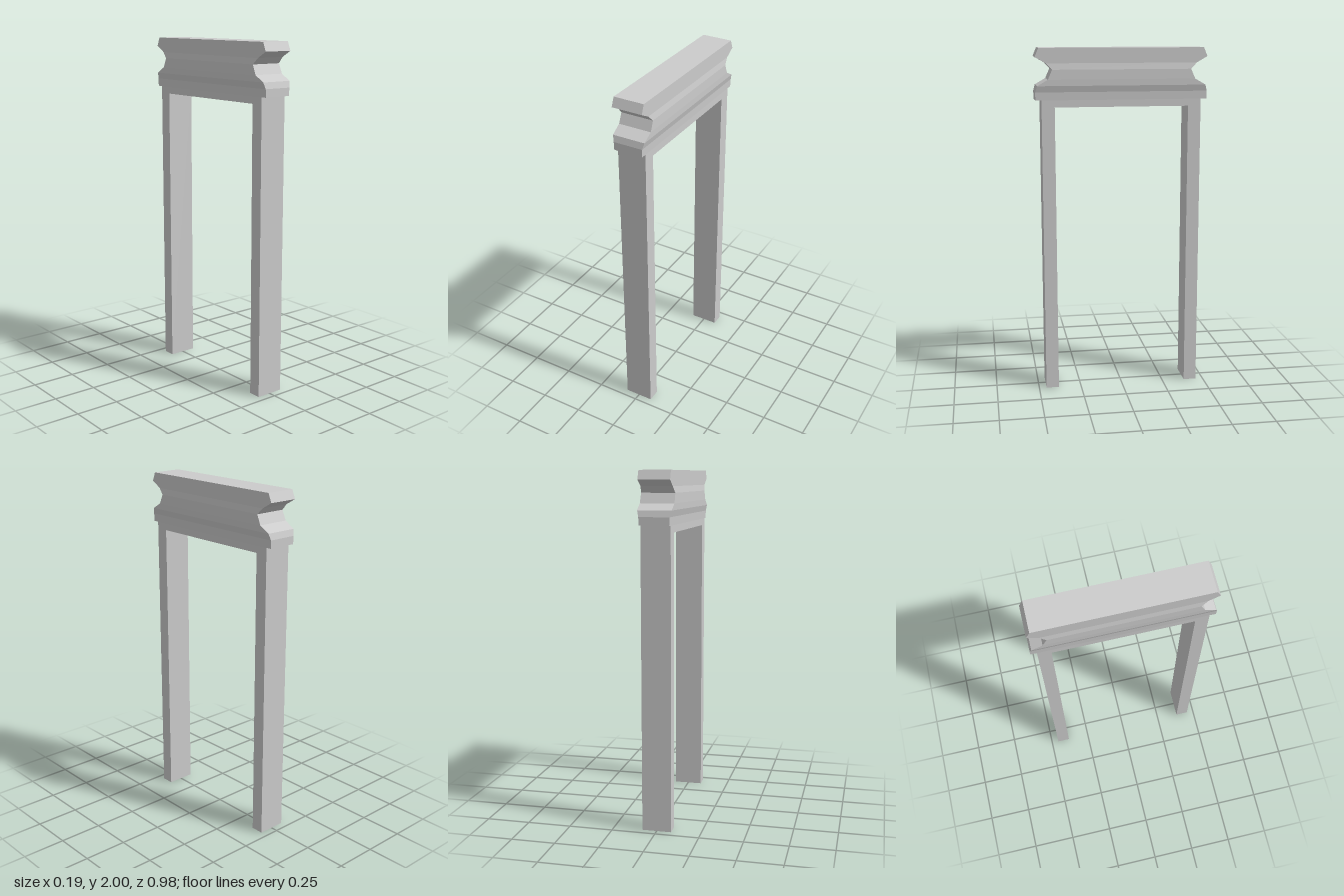
import * as THREE from 'three';

const material = new THREE.MeshStandardMaterial({ color: 0xcccccc, flatShading: true });

// Stacks rectangular cross-sections [y, halfX, halfZ], listed bottom to top, into a closed solid.
function loftRectangles(sections) {
  const positions = [];
  const rings = sections.map(([y, hx, hz]) => [[hx, y, hz], [hx, y, -hz], [-hx, y, -hz], [-hx, y, hz]]);
  const quad = (a, b, c, d) => positions.push(...a, ...b, ...c, ...a, ...c, ...d);
  for (let i = 0; i < rings.length - 1; i++) {
    for (let k = 0; k < 4; k++) {
      const n = (k + 1) % 4;
      quad(rings[i][k], rings[i][n], rings[i + 1][n], rings[i + 1][k]);
    }
  }
  const [p, q, r, s] = rings[0];
  quad(s, r, q, p);
  quad(...rings[rings.length - 1]);
  const geometry = new THREE.BufferGeometry();
  geometry.setAttribute('position', new THREE.Float32BufferAttribute(positions, 3));
  geometry.computeVertexNormals();
  return geometry;
}

export function createModel() {
  const group = new THREE.Group();
  group.name = 'doorFrame';

  // Two posts joined by a thin lintel, one outline extruded across the width
  const outer = 0.457, inner = 0.383, lintelBottom = 1.67, lintelTop = 1.71, halfWidth = 0.083;
  const outline = new THREE.Shape([
    [-outer, 0], [-inner, 0], [-inner, lintelBottom], [inner, lintelBottom],
    [inner, 0], [outer, 0], [outer, lintelTop], [-outer, lintelTop],
  ].map(([z, y]) => new THREE.Vector2(z, y)));
  const frameGeometry = new THREE.ExtrudeGeometry(outline, { depth: 2 * halfWidth, bevelEnabled: false });
  frameGeometry.translate(0, 0, -halfWidth).rotateY(-Math.PI / 2);
  const frame = new THREE.Mesh(frameGeometry, material);
  frame.name = 'postsAndLintel';
  group.add(frame);

  // Moulded cornice: deep cove on the ends, shallow swell along the sides
  const cornice = new THREE.Mesh(loftRectangles([
    [1.71, 0.083, 0.491],
    [1.755, 0.085, 0.491],
    [1.79, 0.094, 0.481],
    [1.825, 0.095, 0.42],
    [1.88, 0.094, 0.396],
    [1.915, 0.088, 0.43],
    [1.95, 0.088, 0.491],
    [2, 0.088, 0.47],
  ]), material);
  cornice.name = 'cornice';
  group.add(cornice);

  return group;
}
